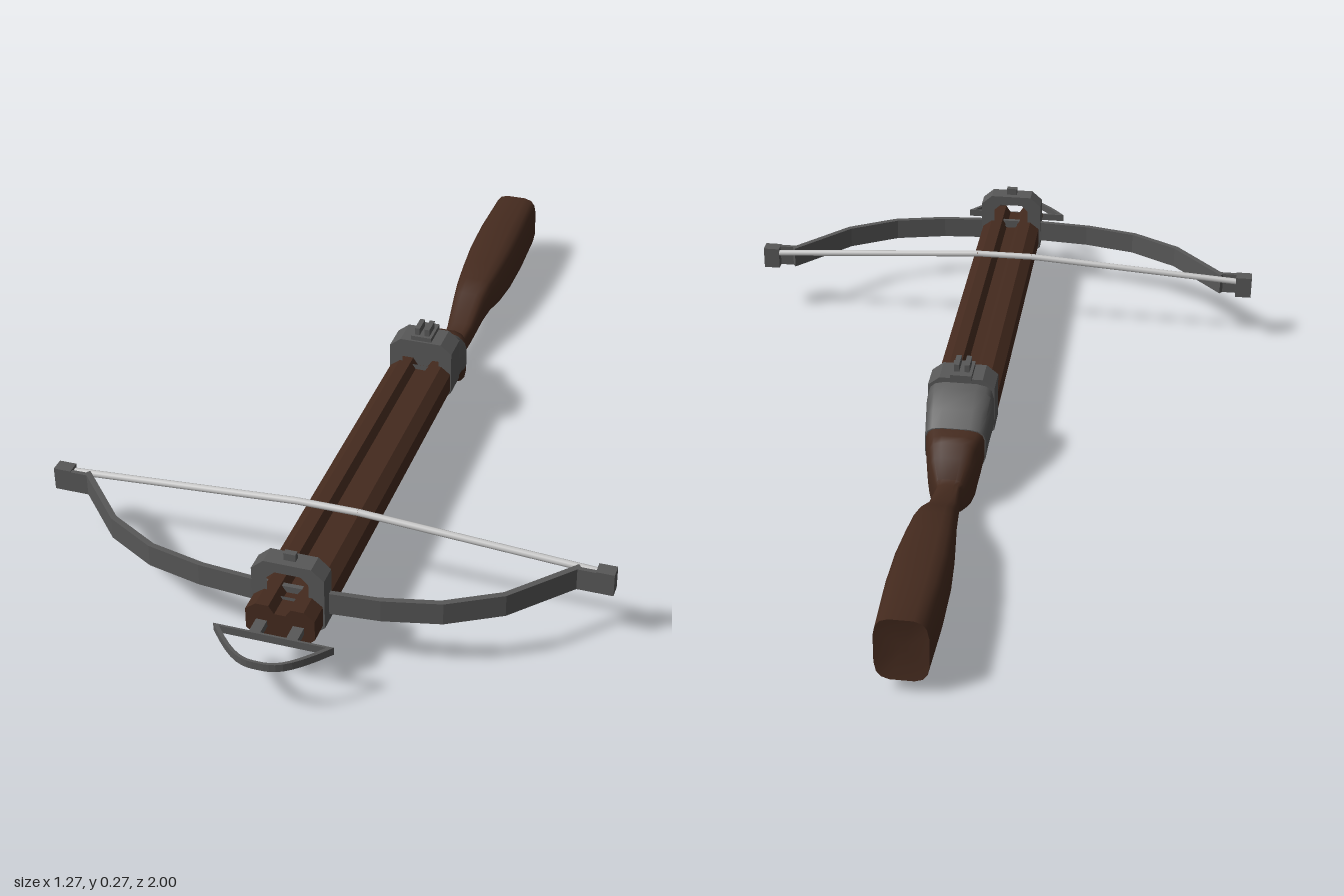
import * as THREE from 'three';
import { toCreasedNormals } from 'three/addons/utils/BufferGeometryUtils.js';

const wood = new THREE.MeshStandardMaterial({ color: 0x442a1e });
wood.name = 'dark wood';
const steel = new THREE.MeshStandardMaterial({ color: 0x585858 });
steel.name = 'grey steel';
const cord = new THREE.MeshStandardMaterial({ color: 0xc8c8c8 });
cord.name = 'pale cord';

const CX = 0.013; // centre line of the stock

function shapeOf(points, hole) {
  const shape = new THREE.Shape(points.map(p => new THREE.Vector2(...p)));
  if (hole) shape.holes.push(new THREE.Path(hole.map(p => new THREE.Vector2(...p))));
  return shape;
}

const extrude = (shape, depth) =>
  new THREE.ExtrudeGeometry(shape, { depth, bevelEnabled: false, curveSegments: 10 });

// Outline in (x, y), running from z0 to z1
const alongZ = (shape, z0, z1) => extrude(shape, z1 - z0).translate(CX, 0, z0);
// Outline in (z, y), centred across the stock
const acrossX = (shape, width) =>
  extrude(shape, width).translate(0, 0, -width / 2).rotateY(-Math.PI / 2).translate(CX, 0, 0);
// Outline in (x, z), lying flat between y0 and y1
const flat = (shape, y0, y1) => extrude(shape, y1 - y0).rotateX(Math.PI / 2).translate(0, y1, 0);

// Rounded sections [z, half width, bottom, top], listed from front to back
function loft(sections, power = 0.5, sides = 16, dish = 0) {
  const pos = [], index = [];
  const soft = v => Math.sign(v) * Math.abs(v) ** power;
  for (const [z, w, y0, y1] of sections) {
    for (let j = 0; j < sides; j++) {
      const a = ((j + 0.5) / sides) * Math.PI * 2;
      pos.push(CX + w * soft(Math.cos(a)), (y0 + y1) / 2 + ((y1 - y0) / 2) * soft(Math.sin(a)), z);
    }
  }
  const n = sections.length, front = n * sides, back = front + 1;
  const first = sections[0], last = sections[n - 1];
  pos.push(CX, (first[2] + first[3]) / 2, first[0], CX, (last[2] + last[3]) / 2, last[0] + dish);
  for (let j = 0; j < sides; j++) {
    const k = (j + 1) % sides;
    for (let i = 0; i < n - 1; i++) {
      const a = i * sides + j, b = i * sides + k, c = a + sides, d = b + sides;
      index.push(a, c, b, b, c, d);
    }
    index.push(front, j, k, back, (n - 1) * sides + k, (n - 1) * sides + j);
  }
  const g = new THREE.BufferGeometry();
  g.setAttribute('position', new THREE.Float32BufferAttribute(pos, 3));
  g.setIndex(index);
  return toCreasedNormals(g, 0.7);
}

export function createModel() {
  const model = new THREE.Group();
  model.name = 'crossbow';
  const add = (name, geometry, material) => {
    const mesh = new THREE.Mesh(geometry, material);
    mesh.name = name;
    model.add(mesh);
    return mesh;
  };
  const box = (name, size, at, material) =>
    add(name, new THREE.BoxGeometry(...size).translate(...at), material);
  const mirrored = half => [...half, ...half.map(([x, y]) => [-x, y]).reverse()];

  // Fore stock with a bolt groove along the top
  const stockHalf = [[0.012, 0.172], [0.024, 0.19], [0.052, 0.19], [0.075, 0.172],
    [0.075, 0.125], [0.05, 0.1]];
  add('foreStock', alongZ(shapeOf(mirrored(stockHalf)), -0.12, 0.87), wood);

  // Grip and shoulder stock
  add('shoulderStock', loft([
    [-0.23, 0.07, 0.09, 0.18], [-0.265, 0.068, 0.08, 0.172], [-0.29, 0.062, 0.04, 0.17],
    [-0.31, 0.057, 0.013, 0.165], [-0.335, 0.05, 0.007, 0.14], [-0.358, 0.034, 0.01, 0.098],
    [-0.372, 0.028, 0.038, 0.093], [-0.45, 0.034, 0.046, 0.103], [-0.53, 0.042, 0.06, 0.145],
    [-0.58, 0.048, 0.062, 0.16], [-0.65, 0.055, 0.047, 0.168], [-0.74, 0.061, 0.04, 0.178],
    [-0.85, 0.062, 0.038, 0.186], [-1, 0.057, 0.04, 0.19],
  ], 0.5, 16, 0.012), wood);

  // Receiver: an open hood, closed by a sloping tail
  const hood = mirrored([[0.05, 0.25], [0.077, 0.228], [0.077, 0.12], [0.056, 0.098]]);
  const hoodGap = mirrored([[0.03, 0.235], [0.045, 0.22], [0.045, 0.185]]);
  add('receiverHood', alongZ(shapeOf(hood, hoodGap), -0.17, -0.1), steel);
  add('receiverTail', loft([
    [-0.15, 0.077, 0.098, 0.245], [-0.19, 0.077, 0.098, 0.234], [-0.23, 0.073, 0.09, 0.205],
    [-0.264, 0.07, 0.075, 0.174],
  ], 0.45), steel);

  // Trigger guard and trigger
  const guard = [[-0.1, 0.11], [-0.13, 0.008], [-0.2, 0.018], [-0.285, 0.036], [-0.262, 0.12]];
  const guardGap = [[-0.122, 0.097], [-0.142, 0.026], [-0.23, 0.038], [-0.238, 0.06], [-0.21, 0.097]];
  add('triggerGuard', acrossX(shapeOf(guard, guardGap), 0.05), steel);
  add('trigger', acrossX(shapeOf([[-0.18, 0.105], [-0.192, 0.075], [-0.18, 0.05],
    [-0.187, 0.048], [-0.206, 0.075], [-0.204, 0.105]]), 0.016), steel);

  // Front bracket arching over the stock
  const arch = mirrored([[0.052, 0.262], [0.079, 0.238], [0.079, 0.118], [0.055, 0.098]]);
  const archGap = mirrored([[0.028, 0.238], [0.045, 0.222], [0.045, 0.18]]);
  add('frontBracket', alongZ(shapeOf(arch, archGap), 0.775, 0.82), steel);

  // Sights: a notched rear sight and a front post
  for (const s of [-1, 1]) {
    box('rearSightPost', [0.012, 0.034, 0.045], [CX + s * 0.012, 0.262, -0.135], steel);
  }
  box('rearSightBase', [0.05, 0.014, 0.07], [CX, 0.254, -0.14], steel);
  box('frontSight', [0.026, 0.03, 0.014], [CX, 0.264, 0.797], steel);

  // Bow: a thin band swept through a curve, with nock blocks on the tips
  const limb = [[0, 0.796], [0.08, 0.794], [0.2, 0.784], [0.325, 0.755], [0.44, 0.69], [0.565, 0.553]];
  const outer = mirrored(limb.map(([x, z]) => [x, z]).reverse());
  const inner = mirrored(limb.map(([x, z]) => [Math.max(0, x - 0.008), z - 0.011]).reverse());
  outer.splice(limb.length, 1);
  inner.splice(limb.length, 1);
  add('bowLimbs', flat(shapeOf([...outer, ...inner.reverse()]), 0.135, 0.187), steel);
  for (const s of [-1, 1]) {
    box('limbTip', [0.04, 0.054, 0.032], [s * 0.617, 0.162, 0.545], steel);
    box('limbTipJaw', [0.05, 0.052, 0.01], [s * 0.58, 0.161, 0.556], steel);
  }

  // Bowstring rising to its middle over the stock
  const nodes = [[-0.61, 0.174], [-0.07, 0.209], [0.07, 0.209], [0.61, 0.174]]
    .map(([x, y]) => new THREE.Vector3(x, y, 0.538));
  for (let i = 0; i < 3; i++) {
    add('bowstring', new THREE.TubeGeometry(new THREE.LineCurve3(nodes[i], nodes[i + 1]), 1, 0.008, 8), cord);
  }

  // Foot stirrup: a thin flat loop on two prongs
  const loop = (w, z0, z1) => {
    const pts = [[CX - w, z0], [CX + w, z0]];
    const curve = new THREE.CubicBezierCurve(
      new THREE.Vector2(CX + w, z0), new THREE.Vector2(CX + w * 0.45, z1),
      new THREE.Vector2(CX + w * 0.25, z1), new THREE.Vector2(CX, z1));
    const arc = curve.getPoints(8).slice(1).map(p => [p.x, p.y]);
    const back = arc.slice(0, -1).reverse().map(([x, z]) => [2 * CX - x, z]);
    return [...pts, ...arc, ...back];
  };
  add('stirrup', flat(shapeOf(loop(0.13, 0.91, 1), loop(0.115, 0.915, 0.994)), 0.134, 0.152), steel);
  for (const s of [-1, 1]) {
    box('stirrupProng', [0.024, 0.016, 0.06], [CX + s * 0.04, 0.143, 0.885], steel);
  }

  return model;
}
